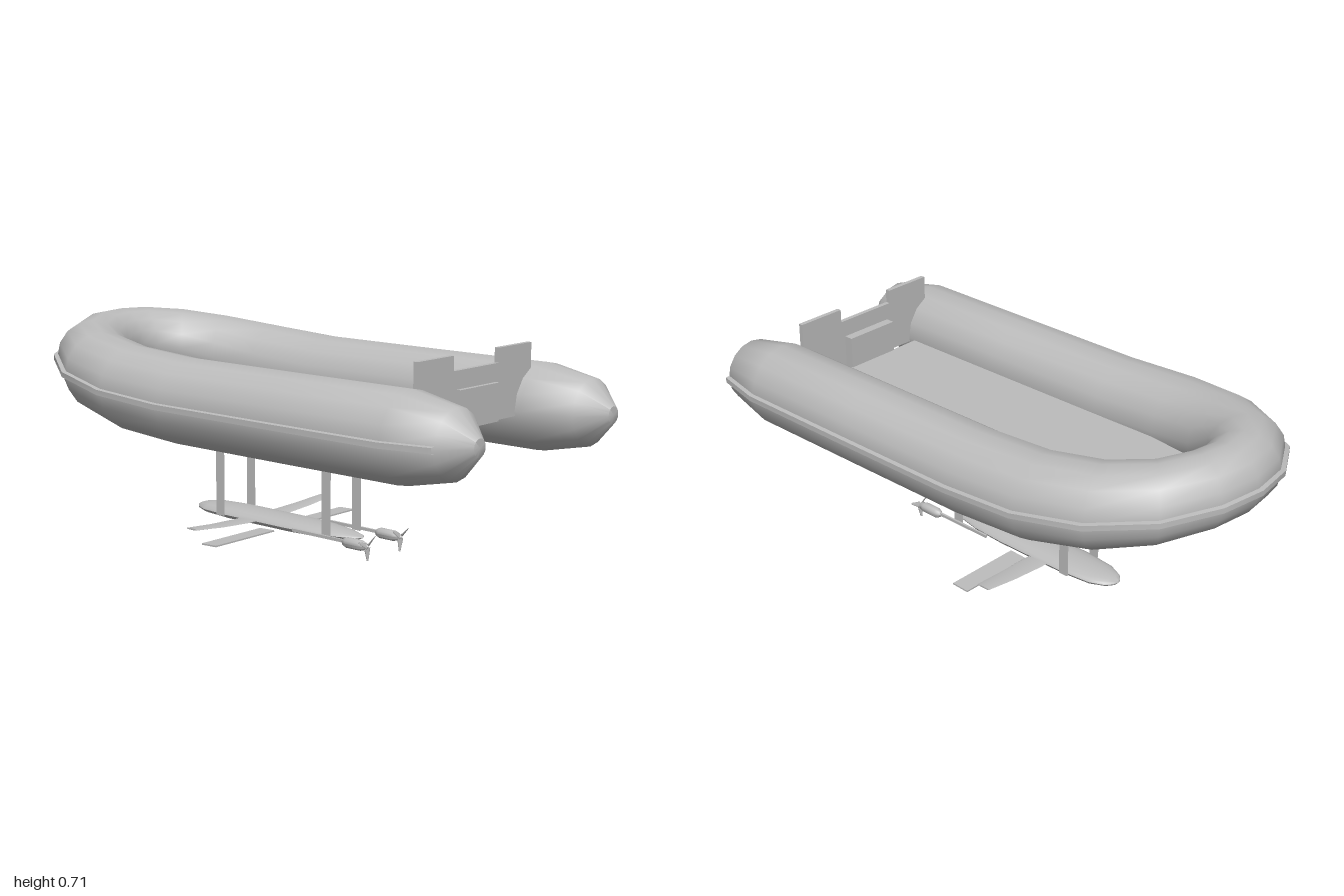
import * as THREE from 'three';
import { toCreasedNormals } from 'three/addons/utils/BufferGeometryUtils.js';

const grey = new THREE.MeshStandardMaterial({ color: 0xbcbcbc, side: THREE.DoubleSide });
grey.name = 'light grey';

const UP = new THREE.Vector3(0, 1, 0);
const V = (x, y, z) => new THREE.Vector3(x, y, z);

// Skins a list of rings (each a list of points) running along a path
function skin(rings, crease) {
  const n = rings[0].length, index = [];
  for (let i = 0; i < rings.length - 1; i++) {
    for (let j = 0; j < n; j++) {
      const a = i * n + j, b = i * n + (j + 1) % n;
      index.push(a, b, a + n, b, b + n, a + n);
    }
  }
  const g = new THREE.BufferGeometry().setFromPoints(rings.flat());
  g.setIndex(index);
  return toCreasedNormals(g, crease);
}

// Sideways direction at station i, level and square to the path
function sideways(stations, i) {
  const a = stations[Math.max(i - 1, 0)].c, b = stations[Math.min(i + 1, stations.length - 1)].c;
  const t = b.clone().sub(a).setY(0).normalize();
  return UP.clone().cross(t);
}

// Elliptical loft: stations have centre c, half width w and half height h
function loft(stations, sides, crease = 0.8) {
  return skin(stations.map(({ c, w, h }, i) => {
    const s = sideways(stations, i);
    return Array.from({ length: sides }, (_, j) => {
      const a = j / sides * Math.PI * 2;
      return c.clone().addScaledVector(s, w * Math.cos(a)).addScaledVector(UP, h * Math.sin(a));
    });
  }), crease);
}

export function createModel() {
  const model = new THREE.Group();
  model.name = 'inflatableFoilBoat';

  const add = (name, geometry, parent = model) => {
    const m = new THREE.Mesh(geometry, grey);
    m.name = name;
    parent.add(m);
    return m;
  };
  // Box given by its limits
  const box = (name, x0, x1, y0, y1, z0, z1) => {
    const m = add(name, new THREE.BoxGeometry(x1 - x0, y1 - y0, z1 - z0));
    m.position.set((x0 + x1) / 2, (y0 + y1) / 2, (z0 + z1) / 2);
    return m;
  };

  // U-shaped buoyancy tube: x, y, z, radius from stern to bow, then mirrored
  const half = [
    [1, 0.507, 0.35, 0.0001], [0.999, 0.507, 0.35, 0.028], [0.92, 0.506, 0.35, 0.109],
    [0.75, 0.505, 0.35, 0.144], [0.3, 0.505, 0.35, 0.144], [-0.17, 0.506, 0.35, 0.144],
    [-0.43, 0.522, 0.347, 0.143], [-0.63, 0.55, 0.307, 0.137],
    [-0.775, 0.58, 0.22, 0.128], [-0.85, 0.6, 0.1, 0.121], [-0.869, 0.605, 0, 0.118],
  ];
  const path = [...half, ...half.slice(0, -1).reverse().map(([x, y, z, r]) => [x, y, -z, r])]
    .map(([x, y, z, r]) => ({ c: V(x, y, z), w: r, h: r }));
  add('buoyancyTube', loft(path, 16, 0.75));

  // Rubbing strake along the outside of the tube
  const strake = path.slice(2, -2);
  add('rubbingStrake', skin(strake.map(({ c, w }, i) => {
    const s = sideways(strake, i);
    return [[-0.012, -0.012], [0.013, -0.009], [0.013, 0.009], [-0.012, 0.012]]
      .map(([o, y]) => c.clone().addScaledVector(s, w + o).addScaledVector(UP, y));
  }), 0.6));

  // Floor with rounded bow end (drawn in x, -z)
  const side = [[0.685, 0.25], [-0.42, 0.23], [-0.6, 0.18], [-0.69, 0.12], [-0.76, 0.05]];
  const outline = [...side, ...side.slice().reverse().map(([x, z]) => [x, -z])];
  const floor = add('floor', new THREE.ExtrudeGeometry(
    new THREE.Shape(outline.map(([x, z]) => new THREE.Vector2(x, z))), { depth: 0.012, bevelEnabled: false }));
  floor.rotation.x = -Math.PI / 2;
  floor.position.y = 0.49;

  // Transom with a notch in its top edge, and motor pads fore and aft
  const board = new THREE.Shape([
    [-0.29, 0.49], [0.29, 0.49], [0.29, 0.717], [0.115, 0.717],
    [0.115, 0.67], [-0.115, 0.67], [-0.115, 0.717], [-0.29, 0.717],
  ].map(([z, y]) => new THREE.Vector2(z, y)));
  const transom = add('transom', new THREE.ExtrudeGeometry(board, { depth: 0.016, bevelEnabled: false }));
  transom.rotation.y = Math.PI / 2;
  transom.position.x = 0.712;
  box('innerMotorPad', 0.68, 0.712, 0.49, 0.612, -0.1, 0.1);
  box('outerMotorPad', 0.728, 0.743, 0.49, 0.612, -0.1, 0.1);

  // Foil struts with their rails and cross bars
  for (const z of [-0.077, 0.077]) {
    box('floorRail', -0.45, 0.5, 0.484, 0.491, z - 0.003, z + 0.003);
    for (const x of [-0.295, 0.19]) box('foilStrut', x - 0.017, x + 0.017, 0.055, 0.492, z - 0.003, z + 0.003);
  }
  for (const x of [-0.295, 0.19]) box('strutCrossBar', x - 0.015, x + 0.015, 0.333, 0.339, -0.077, 0.077);

  // Submerged pod
  const pod = [[-0.465, 0.001], [-0.46, 0.25], [-0.44, 0.55], [-0.39, 0.85], [-0.28, 1], [0, 1],
    [0.12, 0.9], [0.21, 0.65], [0.27, 0.3], [0.285, 0.001]];
  add('foilPod', loft(pod.map(([x, k]) => ({ c: V(x, 0.058, 0), w: 0.073 * k, h: 0.023 * k })), 16));

  // Upswept main wing and the flat wings behind it
  const wing = [[-0.336, 0], [-0.335, 0.026], [-0.22, 0.033], [-0.1, 0.038], [0, 0.04],
    [0.1, 0.038], [0.22, 0.033], [0.335, 0.026], [0.336, 0]];
  add('upsweptWing', loft(wing.map(([z, w]) => ({
    c: V(-0.175, 0.055 + 0.16 * z * z, z), w: w + 0.0001, h: w ? 0.003 : 0.0001,
  })), 8));
  for (const s of [-1, 1]) {
    const z = s * 0.208;
    const flat = box('flatWing', -0.115, -0.05, 0.034, 0.039, z - 0.14, z + 0.14);
    flat.rotation.z = 0.04;
  }

  // Twin motors with three-bladed propellers
  for (const s of [-1, 1]) {
    const z = 0.085 * s;
    box('motorArm', 0.05, 0.3, 0.057, 0.067, z - 0.004, z + 0.004);
    const body = [[0.265, 0.001], [0.275, 0.012], [0.29, 0.018], [0.345, 0.018], [0.365, 0.012], [0.38, 0.001]];
    add('motor', loft(body.map(([x, r]) => ({ c: V(x, 0.06, z), w: r, h: r })), 12));
    const prop = new THREE.Group();
    prop.name = 'propeller';
    prop.position.set(0.372, 0.06, z);
    for (let i = 0; i < 3; i++) {
      const arm = new THREE.Group();
      arm.name = 'propellerBladeArm';
      arm.rotation.x = Math.PI + i * Math.PI * 2 / 3 + 0.06 * s;
      const blade = add('propellerBlade', new THREE.CylinderGeometry(0.003, 0.011, 0.044, 8), arm);
      blade.scale.x = 0.2;
      blade.position.y = 0.026;
      blade.rotation.y = 0.45;
      prop.add(arm);
    }
    model.add(prop);
  }
  return model;
}
